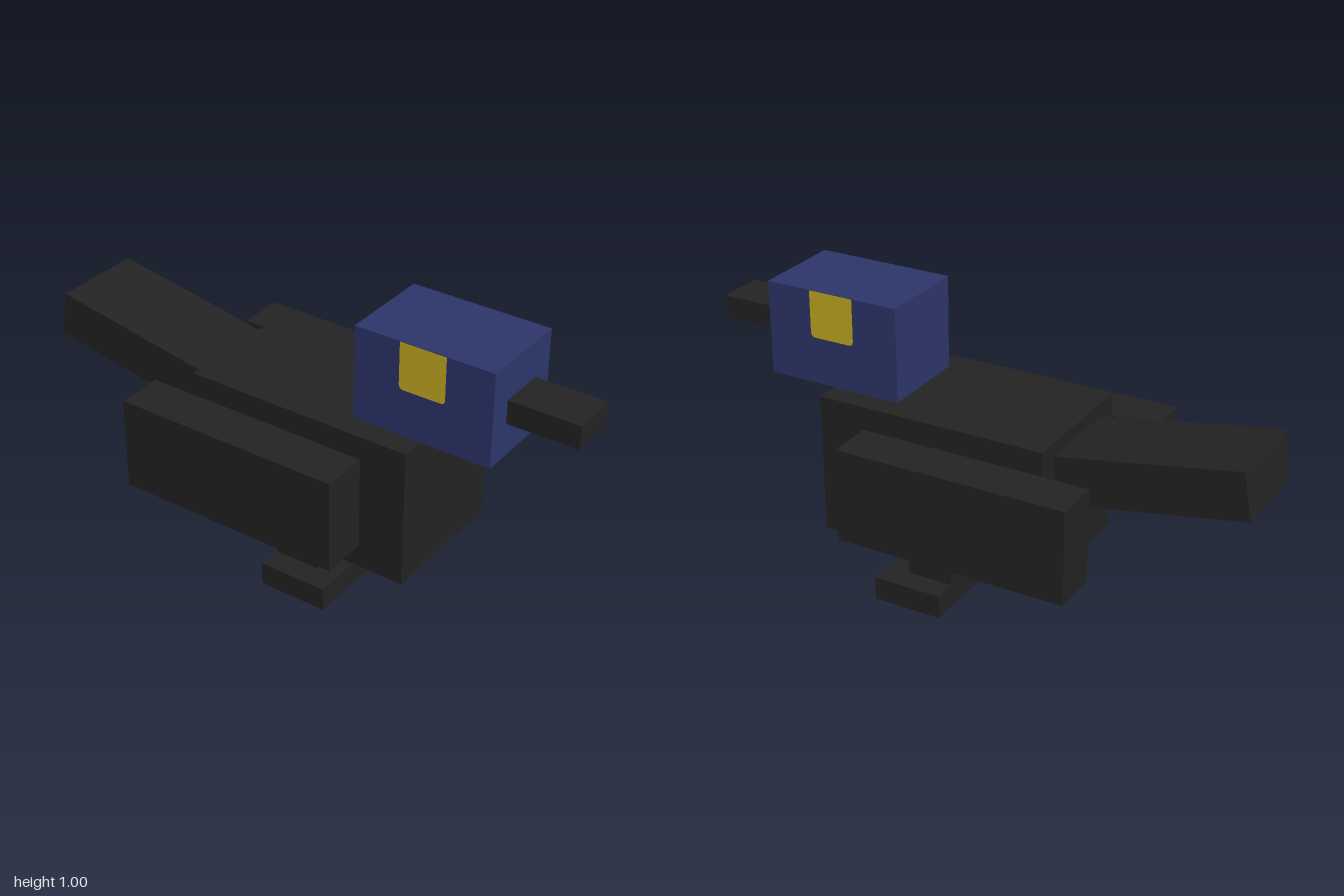
import * as THREE from 'three';

const U = 1 / 12; // block unit

export function createModel() {
  const model = new THREE.Group();
  model.name = 'blockBird';

  const mat = (name, color) => {
    const m = new THREE.MeshStandardMaterial({ color });
    m.name = name;
    return m;
  };
  const black = mat('blackFeathers', 0x232323);
  const blue = mat('blueHead', 0x2d366c);
  const yellow = mat('yellowEye', 0xc9af23);

  // Box given by its lower and upper corners, in block units
  const block = (name, material, [x0, y0, z0], [x1, y1, z1]) => {
    const mesh = new THREE.Mesh(
      new THREE.BoxGeometry((x1 - x0) * U, (y1 - y0) * U, (z1 - z0) * U), material);
    mesh.position.set((x0 + x1) * U / 2, (y0 + y1) * U / 2, (z0 + z1) * U / 2);
    mesh.name = name;
    model.add(mesh);
    return mesh;
  };

  block('body', black, [-3, 2, -4], [3, 8, 6]);
  block('head', blue, [-2, 8, 3], [2, 12, 9]);
  block('beak', black, [-1, 9.42, 9], [1, 10.42, 12]);
  block('feet', black, [-4, 0, 0], [4, 1, 3]);

  // Tail, tilted up toward the back, its root sunk in the body
  const tailLength = 8.2 * U, tilt = THREE.MathUtils.degToRad(10);
  const tail = new THREE.Mesh(new THREE.BoxGeometry(4 * U, 2 * U, tailLength), black);
  tail.geometry.translate(0, 0, tailLength / 2);
  tail.position.set(0, 0.646, -0.985);
  tail.rotation.x = tilt;
  tail.name = 'tail';
  model.add(tail);

  // Eye outline: square with softened lower corners
  const w = U, r = 0.018;
  const eyeShape = new THREE.Shape();
  eyeShape.moveTo(-w, 2 * U);
  eyeShape.lineTo(-w, r);
  eyeShape.quadraticCurveTo(-w, 0, -w + r, 0);
  eyeShape.lineTo(w - r, 0);
  eyeShape.quadraticCurveTo(w, 0, w, r);
  eyeShape.lineTo(w, 2 * U);
  const eyeGeometry = new THREE.ShapeGeometry(eyeShape, 4);

  // Paired parts
  for (const [side, s] of [['left', 1], ['right', -1]]) {
    const pair = (name, x0, x1, y0, y1, z0, z1) =>
      block(side + name, black, [Math.min(s * x0, s * x1), y0, z0], [Math.max(s * x0, s * x1), y1, z1]);
    pair('Wing', 3, 5, 3, 7, -6, 4);
    pair('Leg', 1, 3, 1, 2, 0, 2);

    const eye = new THREE.Mesh(eyeGeometry, yellow);
    eye.rotation.y = s * Math.PI / 2;
    eye.position.set(s * (2 * U + 0.002), 10 * U, 6 * U);
    eye.name = side + 'Eye';
    model.add(eye);
  }

  return model;
}
